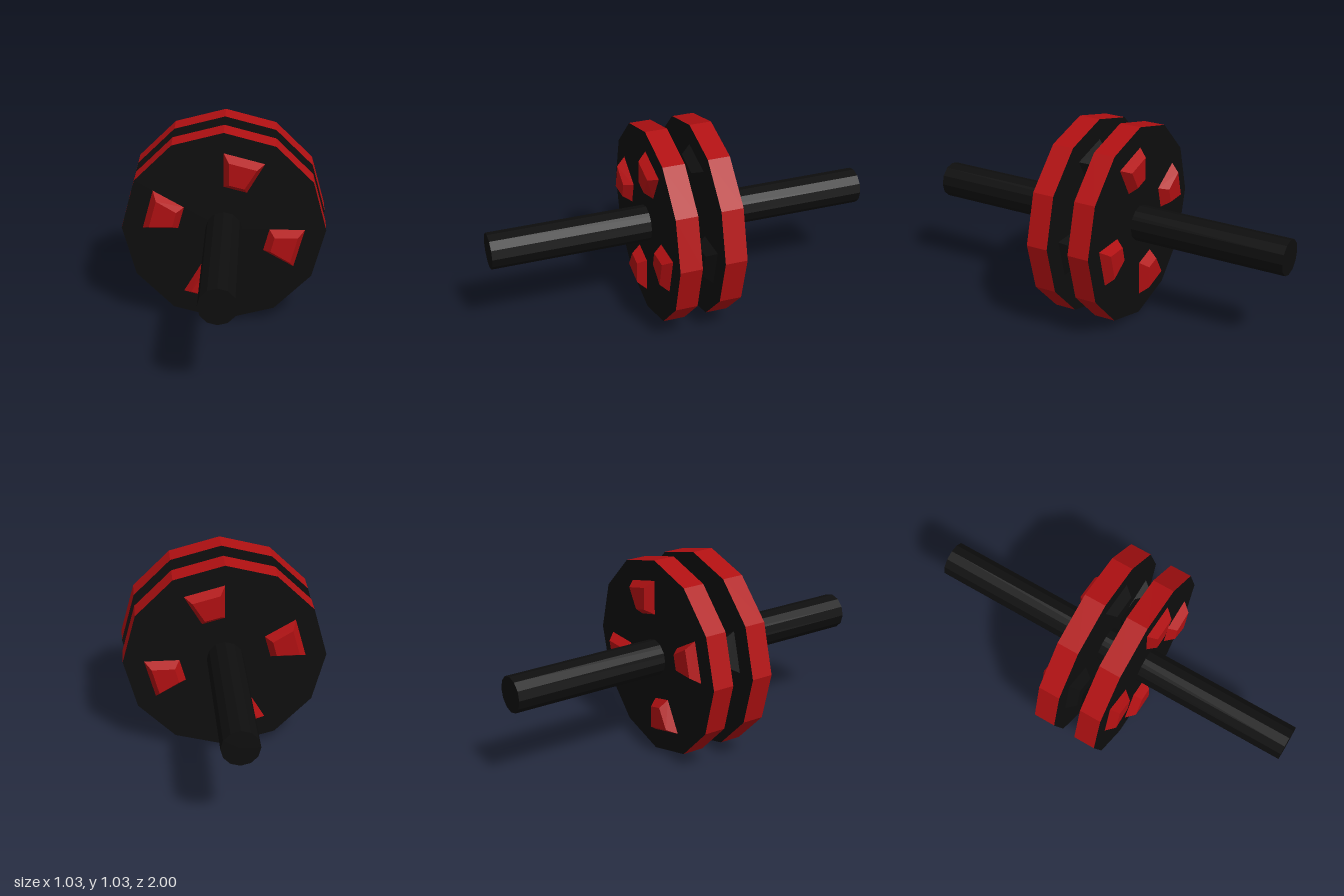
import * as THREE from 'three';

const RADIUS = 0.517;

// Raised block with sloped sides, pointing along +z (dir 1) or -z (dir -1).
function studGeometry(dir, height) {
  const base = [[0, 0.41], [0, 0.231], [0.1155, 0.2], [0.205, 0.355]];
  const cap = [[0.027, 0.374], [0.027, 0.257], [0.104, 0.237], [0.165, 0.337]];
  const low = base.map(([x, y]) => [x, y, 0]);
  const high = cap.map(([x, y]) => [x, y, dir * height]);
  const points = [];
  const quad = (a, b, c, d) => {
    const tris = dir > 0 ? [a, b, c, a, c, d] : [a, c, b, a, d, c];
    for (const p of tris) points.push(...p);
  };
  quad(...high);
  for (let i = 0; i < 4; i++) {
    const j = (i + 1) % 4;
    quad(low[i], low[j], high[j], high[i]);
  }
  const geometry = new THREE.BufferGeometry();
  geometry.setAttribute('position', new THREE.Float32BufferAttribute(points, 3));
  geometry.computeVertexNormals();
  return geometry;
}

export function createModel() {
  const red = new THREE.MeshStandardMaterial({ color: 0xb01012, flatShading: true });
  red.name = 'red';
  const black = new THREE.MeshStandardMaterial({ color: 0x0e0e0e, flatShading: true });
  black.name = 'black';

  const model = new THREE.Group();
  model.name = 'exerciseWheel';
  const add = (parent, name, geometry, material) => {
    const mesh = new THREE.Mesh(geometry, material);
    mesh.name = name;
    parent.add(mesh);
    return mesh;
  };

  // Long handle bar through both wheels
  const bar = new THREE.CylinderGeometry(0.093, 0.093, 2, 12).rotateX(Math.PI / 2);
  add(model, 'handleBar', bar, black);

  // Two mirrored wheels: red tread, black faces, four studs on each face
  for (const side of [1, -1]) {
    const wheel = new THREE.Group();
    wheel.name = side > 0 ? 'frontWheel' : 'backWheel';
    model.add(wheel);

    const disc = new THREE.CylinderGeometry(RADIUS, RADIUS, 0.115, 12).rotateX(Math.PI / 2);
    add(wheel, 'disc', disc, [red, black, black]).position.z = side * 0.117;

    for (let i = 0; i < 4; i++) {
      const outer = add(wheel, 'outerStud', studGeometry(side, 0.046), red);
      outer.position.z = side * 0.1745;
      const inner = add(wheel, 'innerStud', studGeometry(-side, 0.05), black);
      inner.position.z = side * 0.0595;
      outer.rotation.z = inner.rotation.z = i * Math.PI / 2;
    }
  }

  model.position.y = RADIUS;
  const root = new THREE.Group();
  root.name = 'model';
  root.add(model);
  return root;
}
